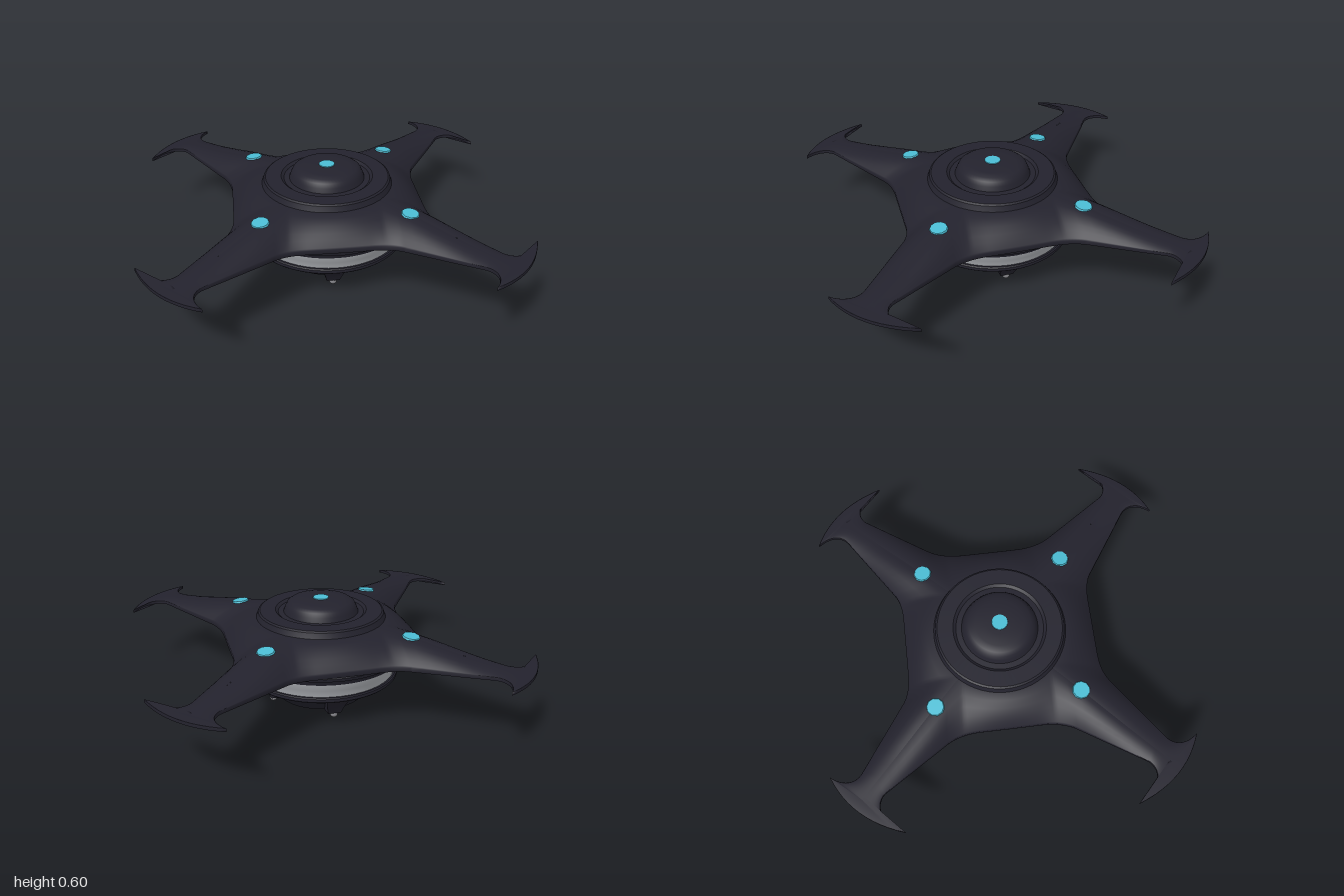
import * as THREE from 'three';
import { toCreasedNormals } from 'three/addons/utils/BufferGeometryUtils.js';

const mat = (name, color, side = THREE.FrontSide) => {
  const m = new THREE.MeshStandardMaterial({ color, side });
  m.name = name;
  return m;
};

// piecewise linear height table: [[r, y], ...]
function table(rows, r) {
  if (r <= rows[0][0]) return rows[0][1];
  for (let i = 1; i < rows.length; i++) {
    const [r0, y0] = rows[i - 1], [r1, y1] = rows[i];
    if (r <= r1) return y0 + (y1 - y0) * (r - r0) / (r1 - r0);
  }
  return rows[rows.length - 1][1];
}

const RIDGE = [[0.33, 0.495], [0.55, 0.475], [0.85, 0.43], [1.14, 0.4]];
const BELLY = [[0.33, 0.322], [0.55, 0.325], [0.95, 0.36], [1.14, 0.378]];
const EDGE_TOP = [[0.52, 0.375], [1.05, 0.397]];
const EDGE_LOW = [[0.52, 0.352], [1.05, 0.38]];

// one quarter of the outline, from the middle of one side to the middle of the next
function quarterOutline() {
  const p = new THREE.Path();
  p.moveTo(0, 0.52);
  p.lineTo(0.16, 0.52);
  p.quadraticCurveTo(0.27, 0.52, 0.33, 0.565);
  p.lineTo(0.665, 0.795);
  p.bezierCurveTo(0.72, 0.83, 0.725, 0.9, 0.67, 0.965);
  p.quadraticCurveTo(0.905, 0.87, 0.997, 0.596);
  p.bezierCurveTo(0.93, 0.73, 0.84, 0.74, 0.79, 0.69);
  p.lineTo(0.565, 0.345);
  p.quadraticCurveTo(0.52, 0.27, 0.52, 0.16);
  p.lineTo(0.52, 0);
  const pts = [];
  for (const c of p.curves) {
    const n = c.isLineCurve ? 8 : 12;
    for (let i = 0; i < n; i++) pts.push(c.getPoint(i / n));
  }
  pts.push(new THREE.Vector2(0.52, 0));
  return pts;
}

// inner end of the loft: the central circle, then the spine of the arm
function corePoint(p) {
  const s = (p.x + p.y) / Math.SQRT2;
  if (s < 0.55) {
    const k = Math.max(0, (s - 0.3677) / (0.55 - 0.3677)) * Math.PI / 4;
    const a = p.y > p.x ? Math.PI / 2 - k : k;
    return new THREE.Vector2(0.33 * Math.cos(a), 0.33 * Math.sin(a));
  }
  const d = Math.min(1.14, 0.33 + (s - 0.55) / 0.59 * 0.81) / Math.SQRT2;
  return new THREE.Vector2(d, d);
}

function hullGeometry() {
  const quarter = quarterOutline();
  const ring = [];
  for (const [sx, sz] of [[1, 1], [1, -1], [-1, -1], [-1, 1]]) {
    const pts = sx * sz > 0 ? quarter : [...quarter].reverse();
    pts.slice(0, -1).forEach(p => ring.push({ p, c: corePoint(p), sx, sz }));
  }
  const steps = [0, 0.03, 0.08, 0.16, 0.28, 0.45, 0.65, 0.85, 1];
  const rows = [...steps].reverse().map(t => [t, BELLY, EDGE_LOW])
    .concat(steps.map(t => [t, RIDGE, EDGE_TOP]));
  const pos = [], idx = [], n = ring.length;
  for (const [t, inner, outer] of rows) {
    for (const { p, c, sx, sz } of ring) {
      const q = p.clone().lerp(c, t);
      const e = table(outer, p.length());
      const y = e + (table(inner, c.length()) - e) * (1 - Math.pow(1 - t, 2.2));
      pos.push(q.x * sx, y, q.y * sz);
    }
  }
  for (let j = 0; j < rows.length - 1; j++) {
    for (let i = 0; i < n; i++) {
      const a = j * n + i, b = j * n + (i + 1) % n;
      idx.push(a, b, b + n, a, b + n, a + n);
    }
  }
  const g = new THREE.BufferGeometry();
  g.setAttribute('position', new THREE.Float32BufferAttribute(pos, 3));
  g.setIndex(idx);
  g.computeVertexNormals();
  return g;
}

const lathe = pts => toCreasedNormals(
  new THREE.LatheGeometry(pts.map(([x, y]) => new THREE.Vector2(x, y)), 64), 0.6);

// wedge that narrows downward, pointing along +x
function strutGeometry() {
  const g = new THREE.BoxGeometry(1, 1, 1, 1, 4, 1);
  const p = g.attributes.position;
  for (let i = 0; i < p.count; i++) {
    const t = p.getY(i) + 0.5;
    const out = 0.295 + 0.095 * Math.pow(t, 1.2);
    const x = p.getX(i) > 0 ? out : 0.2;
    const half = (0.042 + 0.038 * t) * (p.getX(i) > 0 ? 0.85 : 1.1);
    p.setXYZ(i, x, 0.03 + 0.138 * t, Math.sign(p.getZ(i)) * half);
  }
  return toCreasedNormals(g, 0.5);
}

export function createModel() {
  const dark = mat('dark hull', 0x23222d);
  const silver = mat('silver band', 0xb2b5ba);
  const grey = mat('grey metal', 0x85858a);
  const cyan = mat('cyan light', 0x4bbdd4);
  const model = new THREE.Group();
  const add = (name, geo, material, parent = model) => {
    const m = new THREE.Mesh(geo, material);
    m.name = name;
    parent.add(m);
    return m;
  };

  // four-armed hull with hooked tips
  add('hull', hullGeometry(), dark);

  // raised disc and dome on top
  add('topDome', lathe([[0.37, 0.46], [0.355, 0.495], [0.345, 0.523], [0.335, 0.53], [0.25, 0.53],
    [0.235, 0.518], [0.205, 0.52], [0.196, 0.545], [0.185, 0.568], [0.165, 0.582],
    [0.13, 0.59], [0.07, 0.594], [0, 0.595]]), dark);

  // underside rings, band and bowl
  add('upperRing', lathe([[0.44, 0.275], [0.452, 0.278], [0.462, 0.305], [0.48, 0.31],
    [0.485, 0.328], [0.47, 0.35]]), dark);
  add('band', lathe([[0.412, 0.185], [0.418, 0.205], [0.43, 0.235], [0.445, 0.262], [0.45, 0.282]]), silver);
  add('lowerRing', lathe([[0.35, 0.163], [0.424, 0.163], [0.431, 0.17], [0.431, 0.187],
    [0.424, 0.192], [0.4, 0.192]]), dark);
  add('lowerBowl', lathe([[0, 0.012], [0.05, 0.014], [0.1, 0.023], [0.13, 0.036], [0.145, 0.052],
    [0.17, 0.05], [0.195, 0.032], [0.245, 0.034], [0.265, 0.055], [0.37, 0.168]]), dark);

  // centre light on the dome
  add('domeLight', new THREE.CylinderGeometry(0.042, 0.044, 0.008, 20), cyan).position.y = 0.594;

  const strut = strutGeometry();
  for (let i = 0; i < 4; i++) {
    // landing strut with a round foot
    const leg = new THREE.Group();
    leg.name = 'landingStrut';
    leg.rotation.y = i * Math.PI / 2;
    model.add(leg);
    add('strut', strut, dark, leg);
    add('foot', new THREE.SphereGeometry(0.021, 16, 12), grey, leg).position.set(0.278, 0.021, 0);

    // light on the root of each arm
    const arm = new THREE.Group();
    arm.name = 'armLight';
    arm.rotation.y = Math.PI / 4 + i * Math.PI / 2;
    model.add(arm);
    const lamp = add('lamp', new THREE.CylinderGeometry(0.045, 0.049, 0.009, 10), cyan, arm);
    lamp.position.set(0.545, 0.477, 0);
    lamp.rotation.z = -0.13;
  }
  return model;
}
